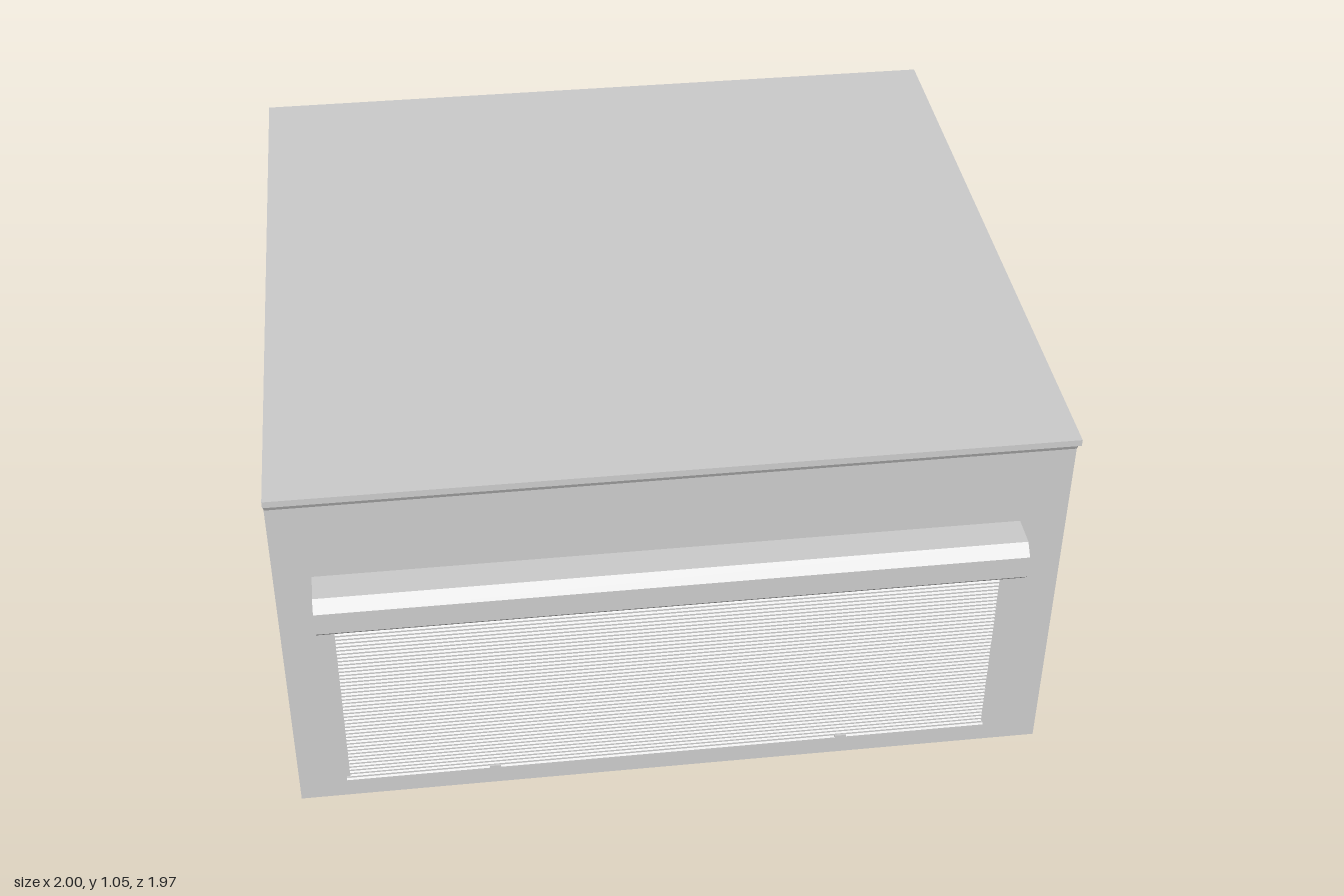
import * as THREE from 'three';

const material = new THREE.MeshStandardMaterial({ color: 0xcccccc, flatShading: true });

// Extrudes a (z, y) side profile along x from x0 to x1
function profileMesh(name, points, x0, x1) {
  const shape = new THREE.Shape(points.map(([z, y]) => new THREE.Vector2(z, y)));
  const geometry = new THREE.ExtrudeGeometry(shape, { depth: x1 - x0, bevelEnabled: false });
  geometry.rotateY(-Math.PI / 2).translate(x1, 0, 0);
  const mesh = new THREE.Mesh(geometry, material);
  mesh.name = name;
  return mesh;
}

export function createModel() {
  const group = new THREE.Group();
  group.name = 'garage';
  const back = -0.985, wall = 0.875;

  // Walls and flat roof with a small drip edge over the front
  group.add(profileMesh('walls', [
    [back, 0], [wall, 0], [wall, 1.002], [0.892, 1.035],
    [0.906, 1.035], [0.906, 1.053], [back, 1.053],
  ], -1, 1));

  // Chamfered box that houses the rolled-up shutter
  group.add(profileMesh('shutterHousing', [
    [wall, 0.66], [0.957, 0.66], [0.985, 0.688],
    [0.985, 0.752], [0.957, 0.78], [wall, 0.78],
  ], -0.905, 0.88));

  // Shutter curtain made of narrow ridged slats
  const slats = 48, bottom = 0.068, pitch = (0.662 - bottom) / slats;
  const curtain = [[wall, bottom]];
  for (let i = 0; i < slats; i++) {
    const y = bottom + i * pitch;
    curtain.push([0.879, y], [0.883, y + pitch * 0.3], [0.883, y + pitch * 0.7]);
  }
  curtain.push([0.879, 0.662], [wall, 0.662]);
  group.add(profileMesh('shutterCurtain', curtain, -0.865, 0.845));

  // Bottom bar, slightly wider than the curtain
  group.add(profileMesh('bottomBar', [
    [wall, 0.055], [0.886, 0.055], [0.886, 0.066], [0.882, 0.07], [wall, 0.07],
  ], -0.875, 0.85));

  // Two small lift tabs on the bottom bar
  for (const x of [-0.48, 0.455]) {
    const tab = new THREE.Mesh(new THREE.BoxGeometry(0.03, 0.006, 0.01), material);
    tab.position.set(x, 0.071, 0.883);
    tab.name = 'liftTab';
    group.add(tab);
  }
  return group;
}
